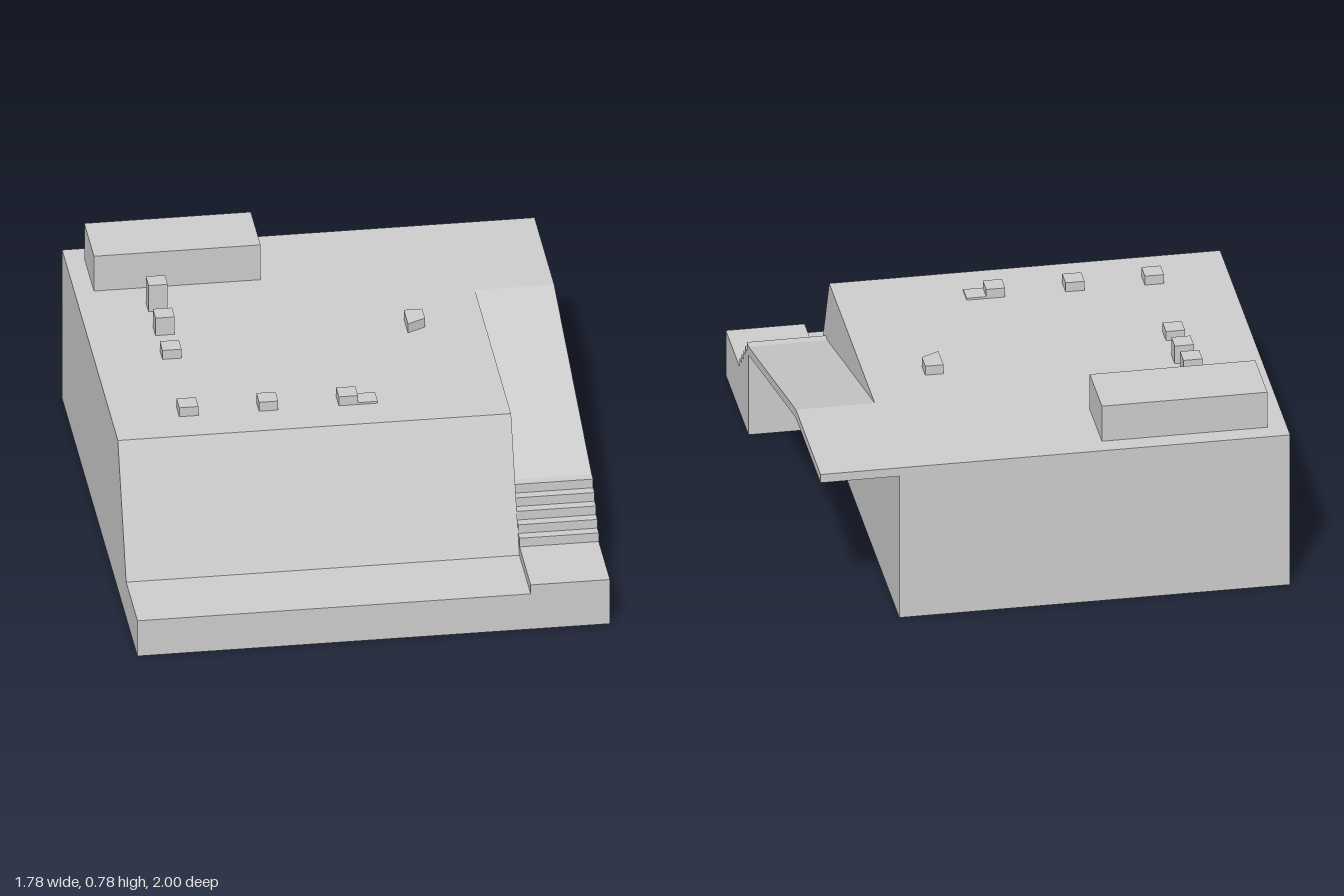
import * as THREE from 'three';

const TOP = 0.632; // deck height
const X0 = -0.888, X1 = 0.59, X2 = 0.888;

export function createModel() {
  const group = new THREE.Group();
  const grey = new THREE.MeshStandardMaterial({ color: 0xcccccc });
  grey.name = 'concrete grey';

  const add = (name, geometry) => {
    const mesh = new THREE.Mesh(geometry, grey);
    mesh.name = name;
    group.add(mesh);
    return mesh;
  };

  // side profile of [z, y] points, extruded along x from xa to xb
  const profile = (name, points, xa, xb) => {
    const shape = new THREE.Shape(points.map(([z, y]) => new THREE.Vector2(-z, y)));
    const geo = new THREE.ExtrudeGeometry(shape, { depth: xb - xa, bevelEnabled: false });
    geo.rotateY(Math.PI / 2);
    geo.translate(xa, 0, 0);
    return add(name, geo);
  };

  // box standing on the deck
  const block = (name, x, z, w, d, h) => {
    const geo = new THREE.BoxGeometry(w, h, d);
    geo.translate(x, TOP + h / 2, z);
    return add(name, geo);
  };

  // main body with front ledge and sloped bank
  profile('body', [[1, 0], [-1, 0], [-1, TOP], [0.48, TOP], [0.7, 0.15], [1, 0.15]], X0, X1);

  // side walkway: landing, five steps, ramp and overhanging deck slab
  const side = [[1, 0], [1, 0.188], [0.705, 0.188]];
  const steps = 5, rise = 0.0368, tread = 0.0372;
  for (let i = 0; i < steps; i++) {
    const z = 0.705 - i * tread, y = 0.188 + (i + 1) * rise;
    side.push([z, y], [z - tread, y]);
  }
  side.push([-0.48, TOP], [-1, TOP], [-1, 0.597], [-0.48, 0.597], [0.52, 0.337], [0.52, 0]);
  profile('sideRampAndSteps', side.reverse(), X1, X2);

  // large box at the back
  block('backBox', -0.502, -0.798, 0.626, 0.256, 0.148);

  // row of rising blocks
  [0.038, 0.074, 0.111].forEach((h, i) =>
    block('risingBlock' + (i + 1), -0.6, -0.15 - i * 0.185, 0.072, 0.072, h));

  // front row of low blocks
  [-0.6, -0.3, 0].forEach((x, i) =>
    block('frontBlock' + (i + 1), x, 0.295, 0.072, 0.072, 0.038));
  block('lowPlate', 0.073, 0.295, 0.074, 0.072, 0.008);

  // block with a slanted front face
  const slant = new THREE.Shape([[0.297, 0.297], [0.297, 0.188], [0.366, 0.224], [0.366, 0.297]]
    .map(([x, y]) => new THREE.Vector2(x, y)));
  const slantGeo = new THREE.ExtrudeGeometry(slant, { depth: 0.038, bevelEnabled: false });
  slantGeo.rotateX(-Math.PI / 2);
  slantGeo.translate(0, TOP, 0);
  add('slantedBlock', slantGeo);

  return group;
}
